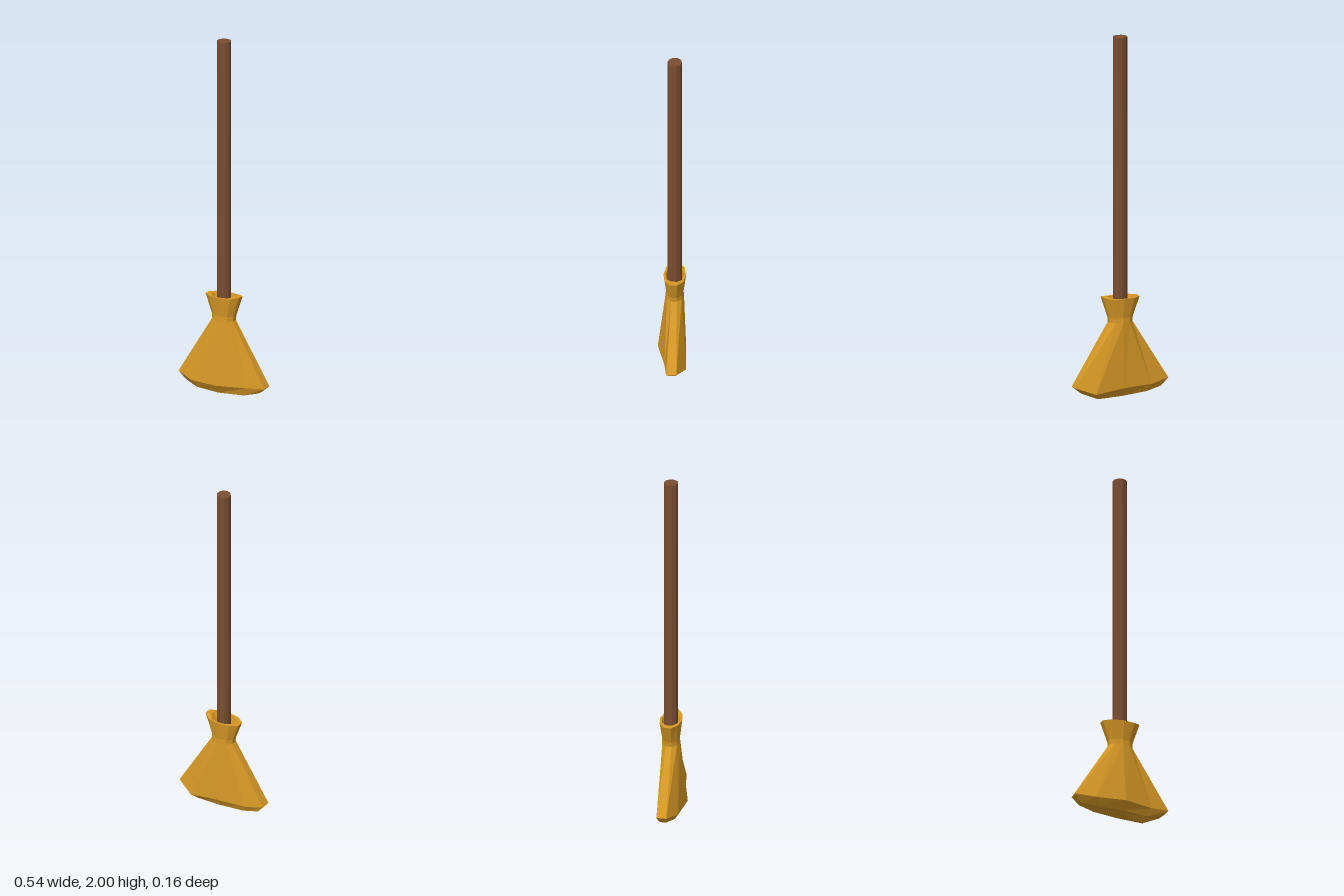
import * as THREE from 'three';

const SIDES = 10;
const AXIS_Z = -0.011;

// Ten-sided oval ring; y and z may be given per corner for the uneven hem
function ring(rx, y, z) {
  return Array.from({ length: SIDES }, (_, k) => {
    const a = (k / SIDES) * Math.PI * 2;
    return [
      rx * Math.sin(a),
      Array.isArray(y) ? y[k] : y,
      Array.isArray(z) ? z[k] : AXIS_Z + z * Math.cos(a),
    ];
  });
}

// Skin rings from bottom to top with flat facets, closing the first ring
function loft(rings) {
  const pos = [];
  const base = rings[0];
  const mid = [0, 1, 2].map((i) => base.reduce((s, p) => s + p[i], 0) / SIDES);
  for (let k = 0; k < SIDES; k++) {
    const n = (k + 1) % SIDES;
    pos.push(...mid, ...base[n], ...base[k]);
    for (let r = 0; r < rings.length - 1; r++) {
      const [a, b, c, d] = [rings[r][k], rings[r][n], rings[r + 1][n], rings[r + 1][k]];
      pos.push(...a, ...b, ...c, ...a, ...c, ...d);
    }
  }
  const g = new THREE.BufferGeometry();
  g.setAttribute('position', new THREE.Float32BufferAttribute(pos, 3));
  g.computeVertexNormals();
  return g;
}

export function createModel() {
  const wood = new THREE.MeshStandardMaterial({ color: 0x7a4d31 });
  wood.name = 'brown wood';
  const straw = new THREE.MeshStandardMaterial({ color: 0xd69826 });
  straw.name = 'golden straw';

  const group = new THREE.Group();
  group.name = 'broom';

  // Handle: faceted pole sunk into the straw
  const pole = new THREE.CylinderGeometry(0.039, 0.039, 1.6, SIDES).toNonIndexed();
  pole.computeVertexNormals();
  const handle = new THREE.Mesh(pole, wood);
  handle.name = 'handle';
  handle.position.set(0, 1.2, AXIS_Z);
  group.add(handle);

  // Bristles: underside, uneven hem, pinched neck, flared rim and hollow mouth
  const rimY = [0.55, 0.55, 0.558, 0.558, 0.55, 0.55, 0.55, 0.55, 0.55, 0.55];
  const bristles = new THREE.Mesh(loft([
    ring(0.242,
      [0.012, 0.012, 0.035, 0.035, 0, 0.006, 0.018, 0.038, 0.038, 0.018],
      [0.05, 0.022, 0.008, -0.027, -0.045, -0.045, -0.038, -0.027, 0.008, 0.04]),
    ring(0.284,
      [0.06, 0.06, 0.068, 0.07, 0.035, 0.055, 0.06, 0.083, 0.083, 0.06],
      [0.081, 0.034, 0.018, -0.037, -0.083, -0.073, -0.055, -0.037, 0.018, 0.063]),
    ring(0.069, 0.415, 0.05),
    ring(0.0715, 0.442, 0.048),
    ring(0.1115, rimY, 0.0615),
    ring(0.077, rimY, 0.05),
    ring(0.03, 0.46, 0.025),
  ]), straw);
  bristles.name = 'bristles';
  group.add(bristles);

  return group;
}
